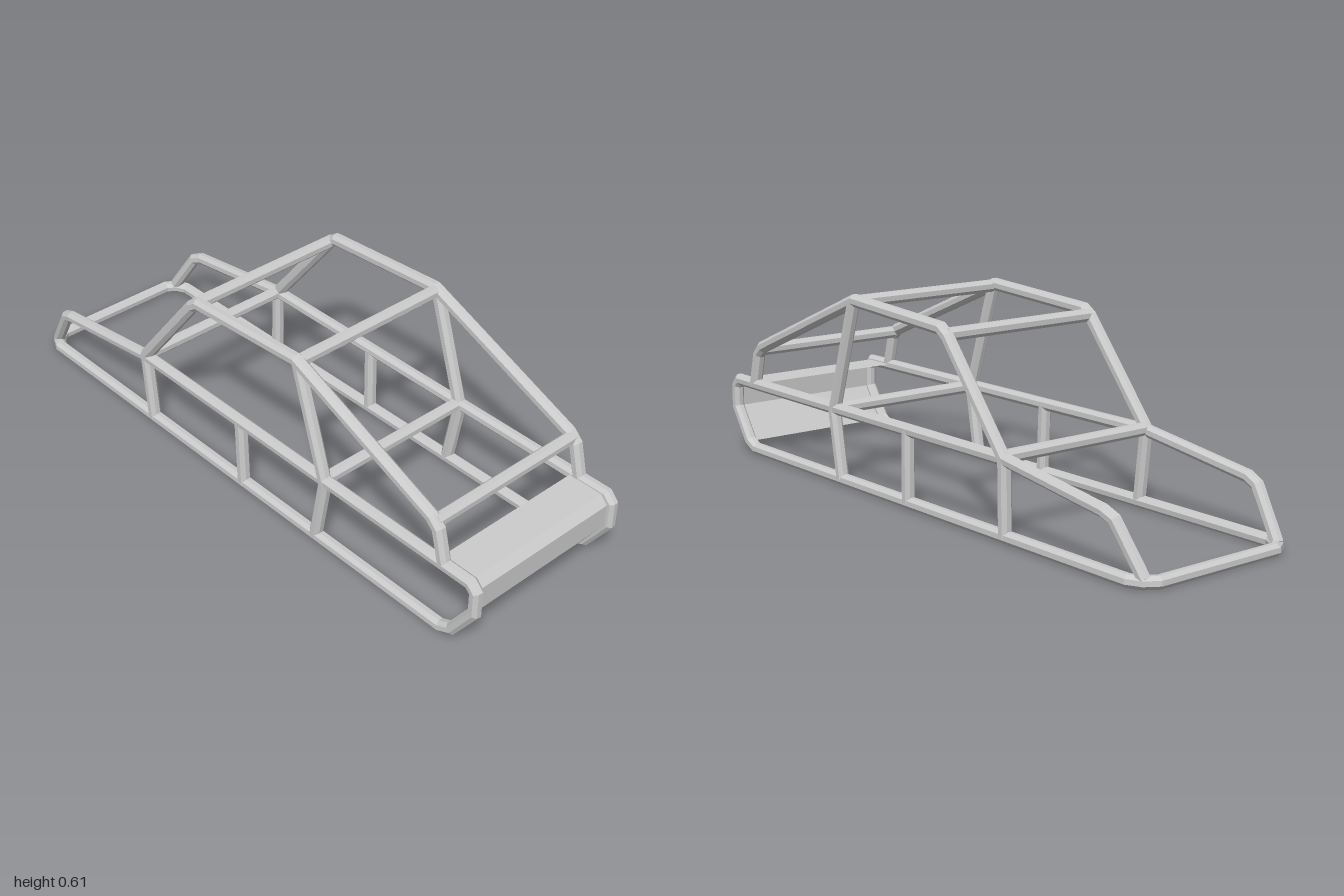
import * as THREE from 'three';

const material = new THREE.MeshStandardMaterial({ color: 0xcccccc, flatShading: true });
const sheetMaterial = new THREE.MeshStandardMaterial({ color: 0xcccccc, flatShading: true, side: THREE.DoubleSide });
const SIDES = 8;
const RADIUS = 0.0203;
const X = 0.272; // centre line of the side frames

// Octagonal pipe along a polyline, mitred at every bend and capped at both ends
function pipe(name, points, radius = RADIUS) {
  const pts = points.map((p) => new THREE.Vector3(...p));
  const dirs = pts.slice(1).map((p, i) => p.clone().sub(pts[i]).normalize());
  const n = pts.length;
  const ref = Math.abs(dirs[0].x) > 0.8 ? new THREE.Vector3(0, 1, 0) : new THREE.Vector3(1, 0, 0);
  const u = ref.addScaledVector(dirs[0], -ref.dot(dirs[0])).normalize();
  const v = dirs[0].clone().cross(u);
  let ring = [];
  for (let j = 0; j < SIDES; j++) {
    const a = ((j + 0.5) / SIDES) * Math.PI * 2;
    ring.push(pts[0].clone().addScaledVector(u, Math.cos(a) * radius).addScaledVector(v, Math.sin(a) * radius));
  }
  const pos = [];
  const index = [];
  for (let i = 0; i < n; i++) {
    if (i > 0) {
      // Slide the previous ring along its segment to the mitre plane
      const d = dirs[i - 1];
      const normal = d.clone().add(dirs[Math.min(i, n - 2)]).normalize();
      ring = ring.map((p) => p.clone().addScaledVector(d, pts[i].clone().sub(p).dot(normal) / d.dot(normal)));
    }
    ring.forEach((p) => pos.push(p.x, p.y, p.z));
    for (let j = 0; j < SIDES && i < n - 1; j++) {
      const a = i * SIDES + j;
      const b = i * SIDES + ((j + 1) % SIDES);
      index.push(a, b, a + SIDES, b, b + SIDES, a + SIDES);
    }
  }
  const last = (n - 1) * SIDES;
  for (let j = 1; j < SIDES - 1; j++) index.push(0, j + 1, j, last, last + j, last + j + 1);
  const geometry = new THREE.BufferGeometry();
  geometry.setAttribute('position', new THREE.Float32BufferAttribute(pos, 3));
  geometry.setIndex(index);
  geometry.computeVertexNormals();
  const mesh = new THREE.Mesh(geometry, material);
  mesh.name = name;
  return mesh;
}

// Sheet bent along a [z, y] profile and spanning the width of the frame
function sheet(name, profile, halfWidth) {
  const pos = [];
  const index = [];
  profile.forEach(([z, y], i) => {
    pos.push(-halfWidth, y, z, halfWidth, y, z);
    const a = i * 2;
    if (i < profile.length - 1) index.push(a, a + 2, a + 1, a + 1, a + 2, a + 3);
  });
  const geometry = new THREE.BufferGeometry();
  geometry.setAttribute('position', new THREE.Float32BufferAttribute(pos, 3));
  geometry.setIndex(index);
  geometry.computeVertexNormals();
  const mesh = new THREE.Mesh(geometry, sheetMaterial);
  mesh.name = name;
  return mesh;
}

export function createModel() {
  const group = new THREE.Group();
  group.name = 'tubeFrame';

  // One continuous rail: tail, upper rail, nose bend, lower rail, then mirrored round the rear
  const half = [
    [0.25, 0.03, -0.96], [X - 0.004, 0.17, -0.867], [X, 0.187, -0.83], [X, 0.243, -0.43],
    [X, 0.243, 0.96], [X, 0.223, 0.979], [X, 0.15, 0.979], [X, 0.042, 0.905], [X, 0.023, 0.865],
    [X - 0.002, 0.023, -0.92], [0.252, 0.023, -0.957], [0.218, 0.023, -0.979],
  ];
  const mirrored = half.map(([x, y, z]) => [-x, y, z]).reverse();
  group.add(pipe('mainRail', [...half, ...mirrored], 0.0195));

  for (const s of [1, -1]) {
    const side = s > 0 ? 'left' : 'right';
    const bar = (name, profile, r) =>
      group.add(pipe(side + name, profile.map(([z, y]) => [s * X, y, z]), r));

    // Roof hoop from the nose over the cabin to the rear deck
    bar('RoofHoop', [[0.862, 0.243], [0.835, 0.35], [0.81, 0.375], [0.275, 0.595], [-0.15, 0.568], [-0.18, 0.548], [-0.43, 0.243]]);
    bar('WindscreenPillar', [[0.283, 0.59], [0.393, 0.243]]);

    // Struts between the lower and upper rails
    bar('FrontStrut', [[0.397, 0.243], [0.358, 0.023]]);
    bar('MiddleStrut', s > 0 ? [[0.012, 0.243], [0.014, 0.023]] : [[0.028, 0.243], [0.036, 0.023]]);
    bar('RearStrut', s > 0 ? [[-0.43, 0.243], [-0.434, 0.023]] : [[-0.425, 0.243], [-0.402, 0.023]]);
  }

  // Bars across the width
  const crossBars = {
    noseBar: [0.365, 0.822], dashBar: [0.243, 0.39], frontRoofBar: [0.59, 0.28],
    rearRoofBar: [0.553, -0.175], rearDeckBar: [0.248, -0.425],
  };
  for (const [name, [y, z]] of Object.entries(crossBars)) {
    group.add(pipe(name, [[-X, y, z], [X, y, z]]));
  }

  // Bent nose panel between the front rails
  group.add(sheet('nosePanel', [[0.84, 0.248], [0.955, 0.248], [0.979, 0.222], [0.979, 0.15], [0.905, 0.04]], 0.262));

  return group;
}
